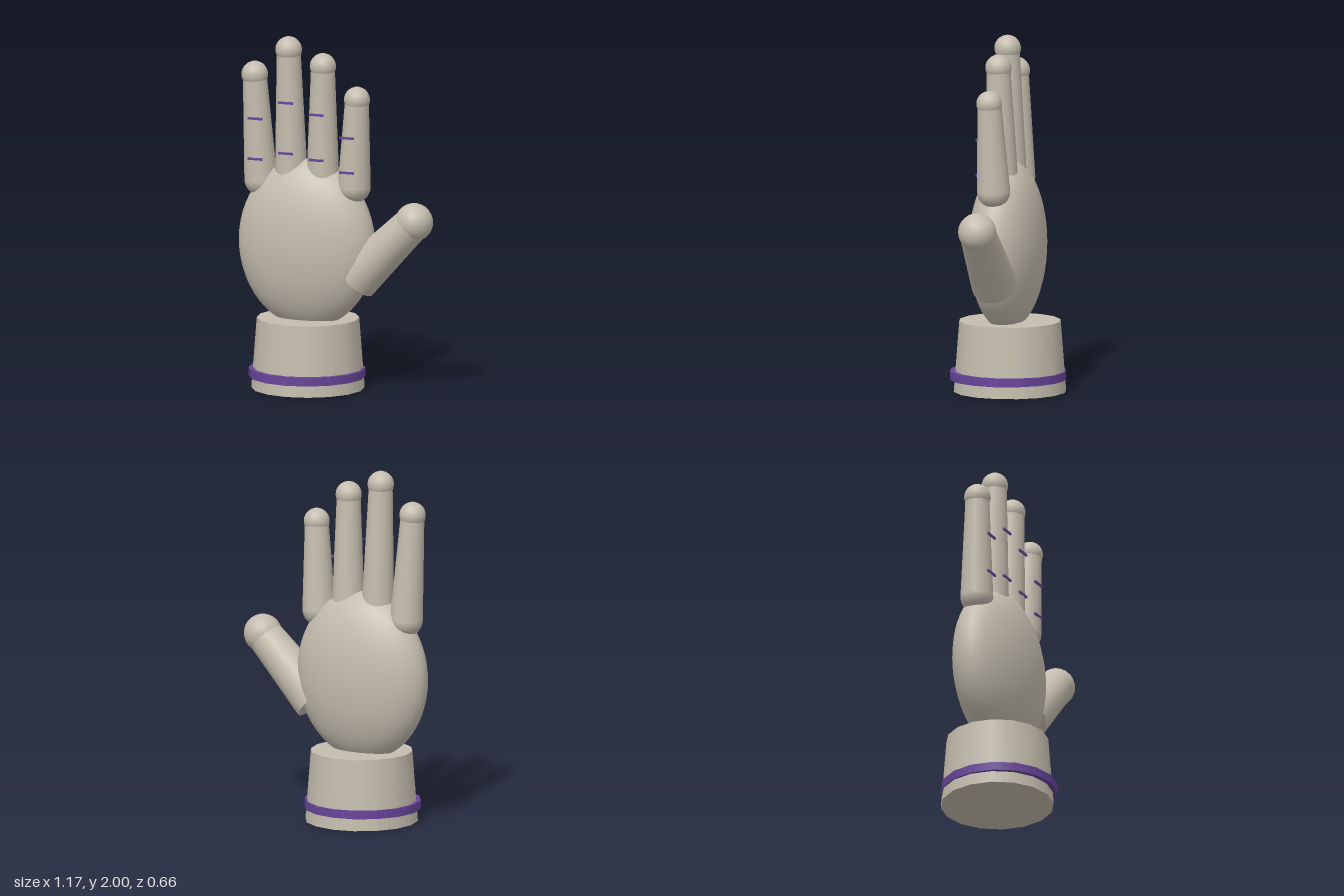
import * as THREE from 'three';

export function createModel() {
  const group = new THREE.Group();
  const skin = new THREE.MeshStandardMaterial({ color: 0xc4bdae });
  skin.name = 'warm grey';
  const purple = new THREE.MeshStandardMaterial({ color: 0x68459a });
  purple.name = 'purple';

  const add = (name, geometry, material, x, y, z, parent = group) => {
    const mesh = new THREE.Mesh(geometry, material);
    mesh.name = name;
    mesh.position.set(x, y, z);
    parent.add(mesh);
    return mesh;
  };

  // Tapered cylinder running from point a to point b
  const limb = (name, a, b, ra, rb, parent) => {
    const from = new THREE.Vector3(...a), to = new THREE.Vector3(...b);
    const dir = to.clone().sub(from);
    const mid = from.clone().add(to).multiplyScalar(0.5);
    const mesh = add(name, new THREE.CylinderGeometry(rb, ra, dir.length(), 20), skin, mid.x, mid.y, mid.z, parent);
    mesh.quaternion.setFromUnitVectors(new THREE.Vector3(0, 1, 0), dir.normalize());
    return mesh;
  };

  // Wrist and its band
  add('wrist', new THREE.CylinderGeometry(0.287, 0.318, 0.4, 16), skin, -0.18, 0.2, -0.012);
  add('wristBand', new THREE.CylinderGeometry(0.328, 0.328, 0.048, 16), purple, -0.18, 0.092, 0);

  // Flattened egg-shaped palm
  const palm = add('palm', new THREE.SphereGeometry(1, 40, 28), skin, -0.18, 0.825, 0);
  palm.scale.set(0.407, 0.48, 0.203);

  // Fingers: base x, tip x, tip y, tip radius, crease x, crease heights
  const fingers = [
    ['littleFinger', -0.458, -0.487, 1.77, 0.075, -0.455, [1.53, 1.3]],
    ['ringFinger', -0.272, -0.281, 1.925, 0.075, -0.27, [1.633, 1.345]],
    ['middleFinger', -0.081, -0.073, 1.845, 0.074, -0.084, [1.578, 1.32]],
    ['indexFinger', 0.109, 0.134, 1.67, 0.073, 0.101, [1.46, 1.262]],
  ];
  for (const [name, baseX, tipX, tipY, r, creaseX, creases] of fingers) {
    const finger = new THREE.Group();
    finger.name = name;
    group.add(finger);
    limb('fingerShaft', [baseX, 1.17, 0.008], [tipX, tipY, 0.027], 0.093, 0.067, finger);
    add('fingerRoot', new THREE.SphereGeometry(0.093, 20, 14), skin, baseX, 1.17, 0.008, finger);
    add('fingerTip', new THREE.SphereGeometry(r, 18, 14), skin, tipX, tipY, 0.027, finger);
    for (const y of creases) {
      add('fingerCrease', new THREE.BoxGeometry(0.088, 0.013, 0.009), purple, creaseX, y, 0.099, finger);
    }
  }

  // Thumb
  const thumb = new THREE.Group();
  thumb.name = 'thumb';
  group.add(thumb);
  limb('thumbShaft', [0.12, 0.645, 0], [0.473, 0.993, 0.01], 0.13, 0.101, thumb);
  add('thumbTip', new THREE.SphereGeometry(0.108, 18, 14), skin, 0.473, 0.993, 0.01, thumb);

  return group;
}
